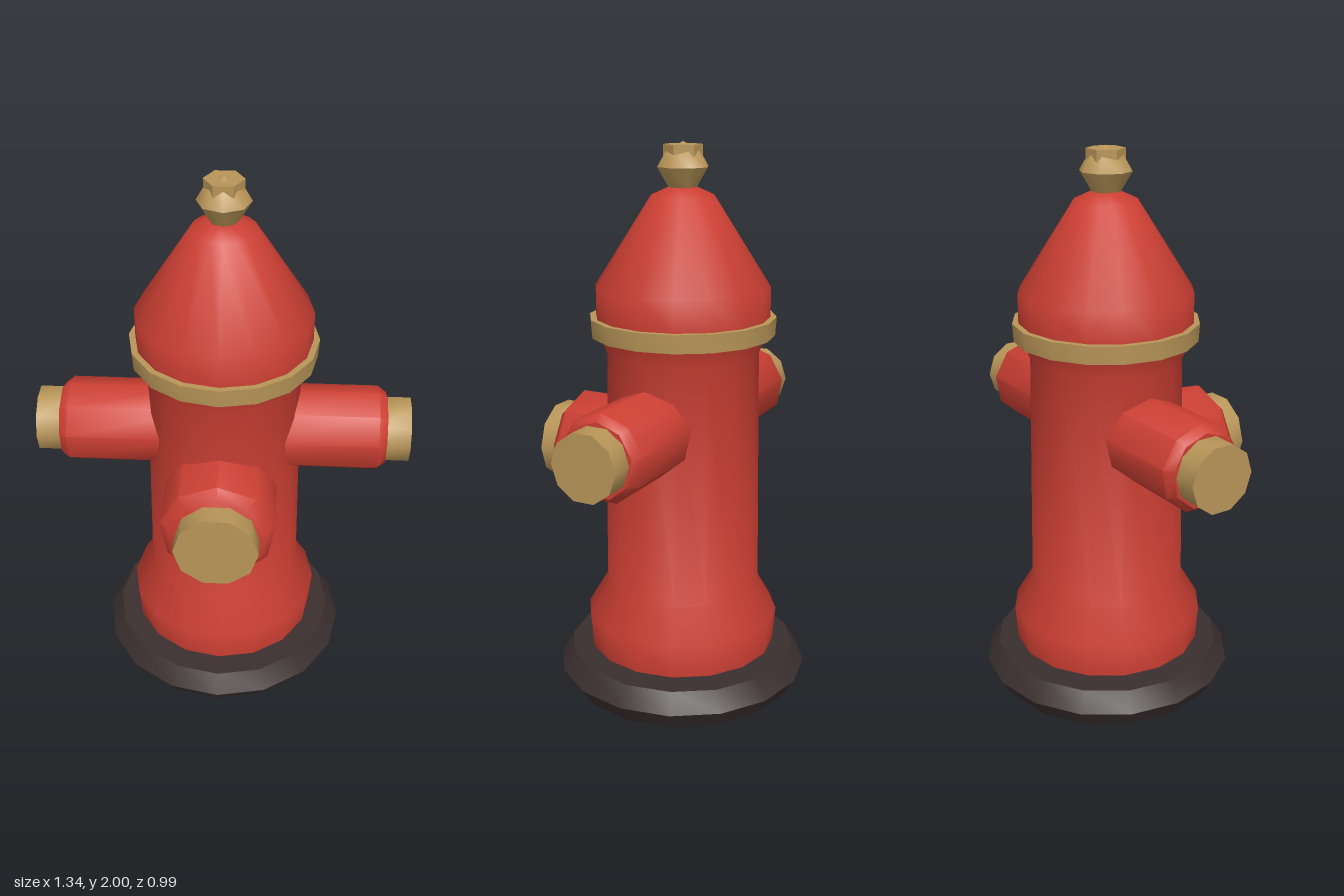
import * as THREE from 'three';
import { toCreasedNormals } from 'three/addons/utils/BufferGeometryUtils.js';

const red = new THREE.MeshStandardMaterial({ color: 0xcc3f33 });
const brass = new THREE.MeshStandardMaterial({ color: 0xb89558 });
const dark = new THREE.MeshStandardMaterial({ color: 0x3b2f2f });

// Turned part from [radius, height] pairs, smooth around and sharp at hard edges
function turned(name, profile, sides, material, turn = 0) {
  const points = profile.map(([r, y]) => new THREE.Vector2(r, y));
  const geometry = new THREE.LatheGeometry(points, sides).rotateY(turn);
  const mesh = new THREE.Mesh(toCreasedNormals(geometry, 0.9), material);
  mesh.name = name;
  return mesh;
}

// Hose outlet pointing along +z: chamfered nine-sided pipe with a ten-sided plug
function outlet(name, radius, pipeEnd, plugRadius, plugEnd) {
  const group = new THREE.Group();
  group.name = name;
  const pipe = turned('outletPipe', [
    [0, 0.12], [radius, 0.12], [radius, pipeEnd - 0.03],
    [radius * 0.85, pipeEnd], [0, pipeEnd],
  ], 9, red, Math.PI);
  const plug = turned('outletPlug', [
    [0, pipeEnd - 0.03], [plugRadius, pipeEnd - 0.03], [plugRadius, plugEnd], [0, plugEnd],
  ], 10, brass, Math.PI / 10);
  for (const part of [pipe, plug]) {
    part.geometry.rotateX(Math.PI / 2);
    group.add(part);
  }
  return group;
}

export function createModel() {
  const model = new THREE.Group();
  model.name = 'fireHydrant';

  // Ground flange
  model.add(turned('baseFlange', [
    [0, 0], [0.42, 0], [0.465, 0.07], [0.42, 0.14], [0, 0.14],
  ], 16, dark));

  // Barrel with flared foot and neck
  model.add(turned('barrel', [
    [0.3, 0.13], [0.345, 0.155], [0.355, 0.28], [0.285, 0.4],
    [0.272, 1.27], [0.3, 1.34], [0, 1.34],
  ], 16, red));

  // Brass collar and domed bonnet
  model.add(turned('collar', [
    [0, 1.335], [0.328, 1.335], [0.332, 1.4], [0, 1.4],
  ], 16, brass));
  model.add(turned('bonnet', [
    [0, 1.395], [0.31, 1.395], [0.31, 1.505], [0.11, 1.82], [0.05, 1.847], [0, 1.85],
  ], 16, red));

  // Top knob and hexagonal nut
  model.add(turned('knob', [
    [0, 1.84], [0.05, 1.845], [0.092, 1.915], [0.06, 1.97], [0, 2],
  ], 8, brass));
  model.add(turned('topNut', [
    [0, 1.95], [0.068, 1.95], [0.068, 1.99], [0, 1.99],
  ], 6, brass, Math.PI / 6));

  // Large front outlet and a mirrored pair of side outlets
  const front = outlet('frontOutlet', 0.203, 0.45, 0.147, 0.525);
  front.position.y = 0.867;
  model.add(front);
  for (const side of [-1, 1]) {
    const arm = outlet(side > 0 ? 'leftOutlet' : 'rightOutlet', 0.155, 0.585, 0.12, 0.67);
    arm.rotation.y = side * Math.PI / 2;
    arm.position.y = 1.028;
    model.add(arm);
  }

  // Barrel axis sits slightly behind the centre
  for (const part of model.children) part.position.z = -0.028;
  return model;
}
